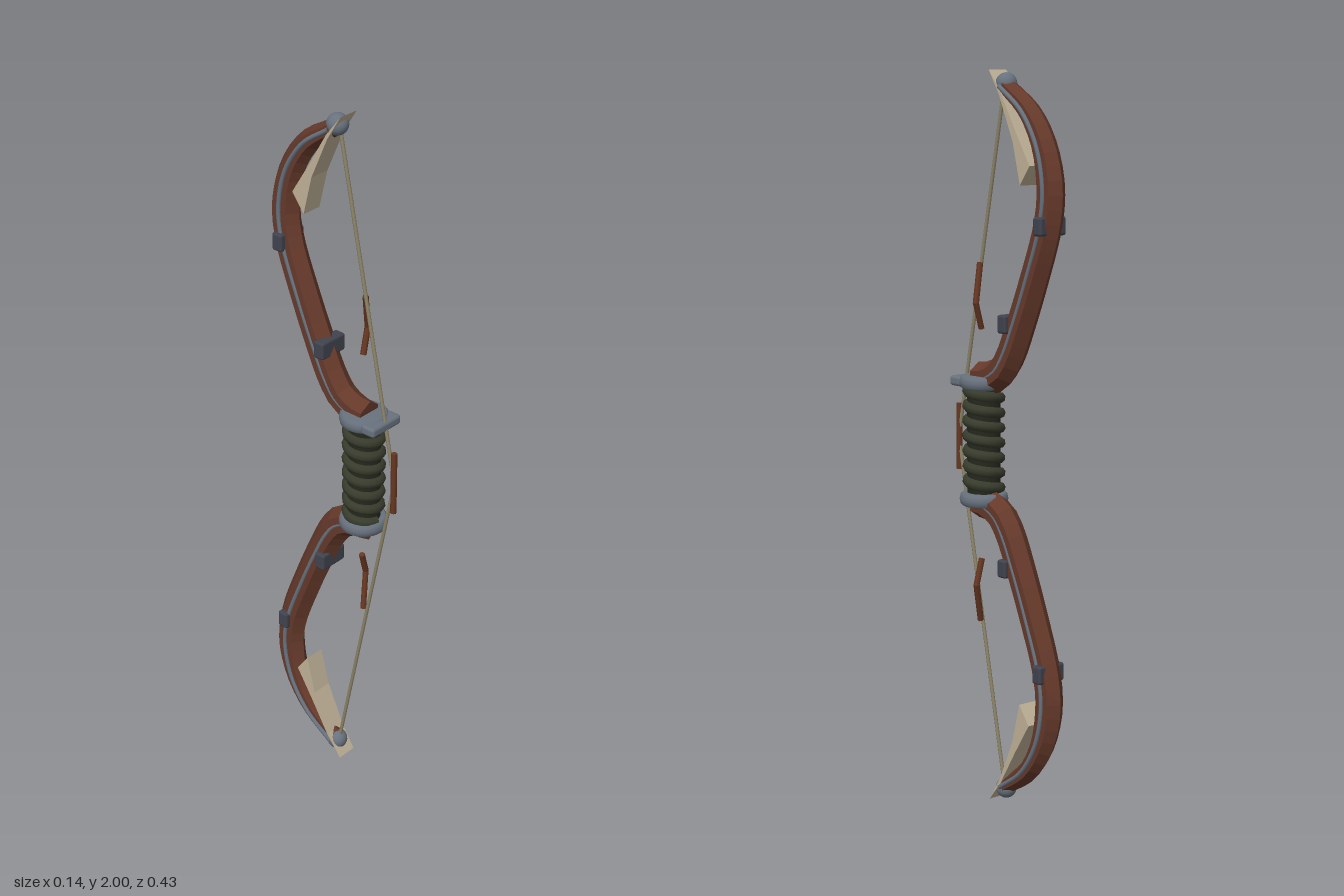
import * as THREE from 'three';
import { RoundedBoxGeometry } from 'three/addons/geometries/RoundedBoxGeometry.js';

const mat = (name, color) => Object.assign(new THREE.MeshStandardMaterial({ color }), { name });
const V = (x, y, z) => new THREE.Vector3(x, y, z);

// Limb centre line from grip to tip, as [y, z] measured from mid-height
const LIMB = [[0.17, 0.118], [0.175, 0.075], [0.2, 0.025], [0.25, -0.012], [0.32, -0.046], [0.45, -0.102],
  [0.6, -0.157], [0.69, -0.168], [0.8, -0.144], [0.89, -0.085], [0.955, 0.005]];

function limbCurve(x = 0) {
  return new THREE.CatmullRomCurve3(LIMB.map(([y, z]) => V(x, y, z)));
}

// Six-sided tapering limb with a ridge along the back and the belly
function limbGeometry() {
  const curve = limbCurve(), steps = 28, pos = [], idx = [];
  for (let i = 0; i <= steps; i++) {
    const t = i / steps, p = curve.getPointAt(t), d = curve.getTangentAt(t);
    const width = 0.035 - 0.009 * t;
    const depth = 0.046 - 0.024 * Math.max(0, (t - 0.68) / 0.32);
    for (let k = 0; k < 6; k++) {
      const a = k * Math.PI / 3, n = Math.cos(a) * depth;
      pos.push(Math.sin(a) * width / 0.866, p.y + d.z * n, p.z - d.y * n);
      const j = i * 6 + k, m = i * 6 + (k + 1) % 6;
      if (i < steps) idx.push(j, j + 6, m + 6, j, m + 6, m);
    }
  }
  const last = steps * 6;
  for (let k = 1; k < 5; k++) idx.push(0, k, k + 1, last, last + k + 1, last + k);
  const g = new THREE.BufferGeometry();
  g.setAttribute('position', new THREE.Float32BufferAttribute(pos, 3));
  g.setIndex(idx);
  const flat = g.toNonIndexed();
  flat.computeVertexNormals();
  return flat;
}

// Bone wedge, drawn in (z, y) and extruded across x
function boneGeometry() {
  const pts = [[0.045, 0.998], [0.002, 0.93], [-0.052, 0.81], [-0.08, 0.7], [-0.118, 0.752], [-0.062, 0.84], [-0.002, 0.94]];
  const shape = new THREE.Shape(pts.map(([z, y]) => new THREE.Vector2(-z, y)));
  const g = new THREE.ExtrudeGeometry(shape, { depth: 0.06, bevelEnabled: false });
  return g.translate(0, 0, -0.03).rotateY(Math.PI / 2);
}

export function createModel() {
  const wood = mat('wood', 0x65392a), metal = mat('steel', 0x68727e), dark = mat('dark iron', 0x40434e);
  const bone = mat('bone', 0xbfb197), wrap = mat('grip wrap', 0x383c2c), core = mat('grip core', 0x25281e);
  const cord = mat('string', 0x8d8468), leather = mat('leather', 0x673722);

  const model = new THREE.Group();
  const bow = new THREE.Group();
  bow.name = 'bow';
  bow.position.set(-0.007, 1, 0);
  model.add(bow);

  const add = (parent, name, geometry, material, x = 0, y = 0, z = 0) => {
    const mesh = new THREE.Mesh(geometry, material);
    mesh.name = name;
    mesh.position.set(x, y, z);
    parent.add(mesh);
    return mesh;
  };
  const rod = (parent, name, a, b, r, material, sides = 8) => {
    const mesh = add(parent, name, new THREE.CylinderGeometry(r, r, a.distanceTo(b), sides), material);
    mesh.position.copy(a).lerp(b, 0.5);
    mesh.quaternion.setFromUnitVectors(V(0, 1, 0), b.clone().sub(a).normalize());
  };

  // Two matching limbs, the lower one turned half round
  for (const name of ['upperLimb', 'lowerLimb']) {
    const limb = new THREE.Group();
    limb.name = name;
    if (name === 'lowerLimb') limb.rotation.z = Math.PI;
    bow.add(limb);
    add(limb, 'limbWood', limbGeometry(), wood);
    for (const s of [-1, 1]) {
      add(limb, 'sideStrip', new THREE.TubeGeometry(limbCurve(s * 0.029), 48, 0.0065, 8), metal);
    }
    add(limb, 'outerClamp', new RoundedBoxGeometry(0.09, 0.05, 0.034, 2, 0.007), dark, 0, 0.598, -0.163);
    add(limb, 'innerClamp', new RoundedBoxGeometry(0.09, 0.05, 0.034, 2, 0.007), dark, 0, 0.332, -0.02);
    add(limb, 'bonePlate', boneGeometry(), bone);
    add(limb, 'tipBall', new THREE.SphereGeometry(0.029, 20, 14), metal, 0, 0.962, 0.009);
    rod(limb, 'bowstring', V(0, 0.962, 0.016), V(0, 0, 0.21), 0.005, cord);
  }

  // Grip with a spiral wrap
  const gripZ = 0.103;
  add(bow, 'gripCore', new THREE.CylinderGeometry(0.046, 0.046, 0.31, 24), core, 0, 0, gripZ);
  const turns = 7, helix = [];
  for (let i = 0; i <= turns * 12; i++) {
    const a = i / 12 * Math.PI * 2;
    helix.push(V(Math.sin(a) * 0.044, 0.145 - 0.29 * i / (turns * 12), Math.cos(a) * 0.044));
  }
  add(bow, 'gripWrap', new THREE.TubeGeometry(new THREE.CatmullRomCurve3(helix), turns * 20, 0.0155, 8), wrap, 0, 0, gripZ);

  // Rounded collars and the arrow rest
  const collar = [[0, -0.018], [0.058, -0.018], [0.064, -0.013], [0.067, 0], [0.064, 0.013], [0.058, 0.018], [0, 0.018]]
    .map(([x, y]) => new THREE.Vector2(x, y));
  for (const [name, y] of [['upperCollar', 0.163], ['lowerCollar', -0.16]]) {
    add(bow, name, new THREE.LatheGeometry(collar, 32), metal, 0, y, gripZ);
  }
  add(bow, 'arrowRest', new RoundedBoxGeometry(0.113, 0.028, 0.045, 2, 0.009), metal, 0, 0.163, 0.161);

  // Wrapped nocking point on the string
  rod(bow, 'stringWrap', V(0, -0.092, 0.208), V(0, 0.092, 0.208), 0.0085, leather);

  // Bent leather thongs on one side
  for (const s of [-1, 1]) {
    const a = V(0.04, s * 0.49, 0.07), b = V(0.069, s * 0.385, 0.053), c = V(0.044, s * 0.315, 0.06);
    rod(bow, 'leatherThong', a, b, 0.0085, leather, 6);
    rod(bow, 'leatherThong', b, c, 0.0085, leather, 6);
    add(bow, 'thongBend', new THREE.SphereGeometry(0.0085, 8, 6), leather, b.x, b.y, b.z);
  }
  return model;
}
